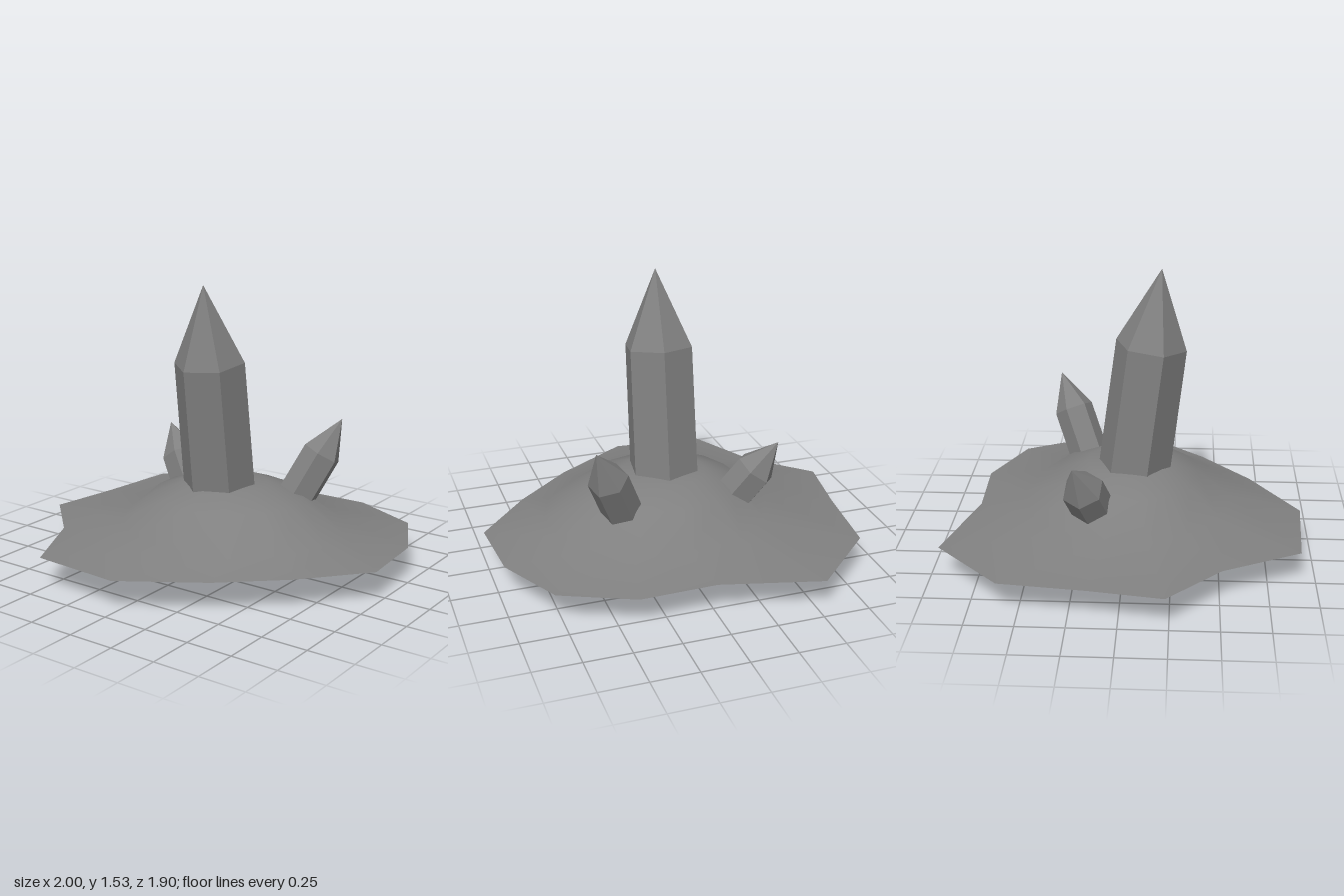
import * as THREE from 'three';

const rock = new THREE.MeshStandardMaterial({ color: 0x808080, side: THREE.DoubleSide });
rock.name = 'grey rock';

// Irregular rim of the mound as [x, z], counter-clockwise from above
const RIM = [
  [0, 0.95], [0.41, 0.69], [0.72, 0.42], [1, 0.1], [0.97, -0.3], [0.79, -0.65], [0.41, -0.82],
  [0, -0.81], [-0.53, -0.95], [-0.89, -0.6], [-0.94, -0.15], [-1, 0.23], [-0.71, 0.51], [-0.5, 0.92],
];

// Rounder rings rising towards the top: radius in x, radius in z, centre x, height
const RINGS = [
  [0.62, 0.57, 0.06, 0.23],
  [0.415, 0.385, 0.035, 0.385],
  [0.23, 0.22, 0.02, 0.445],
];

// Open, smooth mound
function createMound() {
  const n = RIM.length;
  const positions = [];
  const index = [];
  RIM.forEach(([x, z]) => positions.push(x, 0.175, z));
  for (const [rx, rz, cx, y] of RINGS) {
    for (const [x, z] of RIM) {
      const a = Math.atan2(x, z);
      positions.push(cx + Math.sin(a) * rx, y, Math.cos(a) * rz);
    }
  }
  positions.push(0, 0.46, 0);
  const top = n * (RINGS.length + 1);
  for (let r = 0; r <= RINGS.length; r++) {
    for (let j = 0; j < n; j++) {
      const a = r * n + j;
      const b = r * n + (j + 1) % n;
      if (r === RINGS.length) index.push(a, b, top);
      else index.push(a, b, b + n, a, b + n, a + n);
    }
  }
  const geometry = new THREE.BufferGeometry();
  geometry.setAttribute('position', new THREE.Float32BufferAttribute(positions, 3));
  geometry.setIndex(index);
  geometry.computeVertexNormals();
  const mesh = new THREE.Mesh(geometry, rock);
  mesh.name = 'mound';
  return mesh;
}

// Faceted six-sided crystal running from the centre of its base to its tip
function createCrystal(name, base, tip, baseRadius, shoulderRadius, shoulder, twist) {
  const start = new THREE.Vector3(...base);
  const axis = new THREE.Vector3(...tip).sub(start);
  const length = axis.length();
  const profile = [
    new THREE.Vector2(0, 0),
    new THREE.Vector2(baseRadius, 0),
    new THREE.Vector2(shoulderRadius, length * shoulder),
    new THREE.Vector2(0, length),
  ];
  const geometry = new THREE.LatheGeometry(profile, 6, twist).toNonIndexed();
  geometry.computeVertexNormals();
  const mesh = new THREE.Mesh(geometry, rock);
  mesh.name = name;
  mesh.position.copy(start);
  mesh.quaternion.setFromUnitVectors(new THREE.Vector3(0, 1, 0), axis.normalize());
  return mesh;
}

export function createModel() {
  const group = new THREE.Group();
  group.name = 'crystal cluster';
  group.add(
    createMound(),
    createCrystal('mainCrystal', [0, 0.06, -0.005], [0, 1.53, 0.18], 0.2, 0.19, 0.72, -0.15),
    createCrystal('leftCrystal', [0.195, 0.06, -0.115], [0.5, 0.78, -0.4], 0.11, 0.108, 0.74, 0.26),
    createCrystal('rightCrystal', [-0.16, 0.07, -0.09], [-0.55, 0.635, -0.25], 0.115, 0.112, 0.72, 0.35),
  );
  return group;
}
